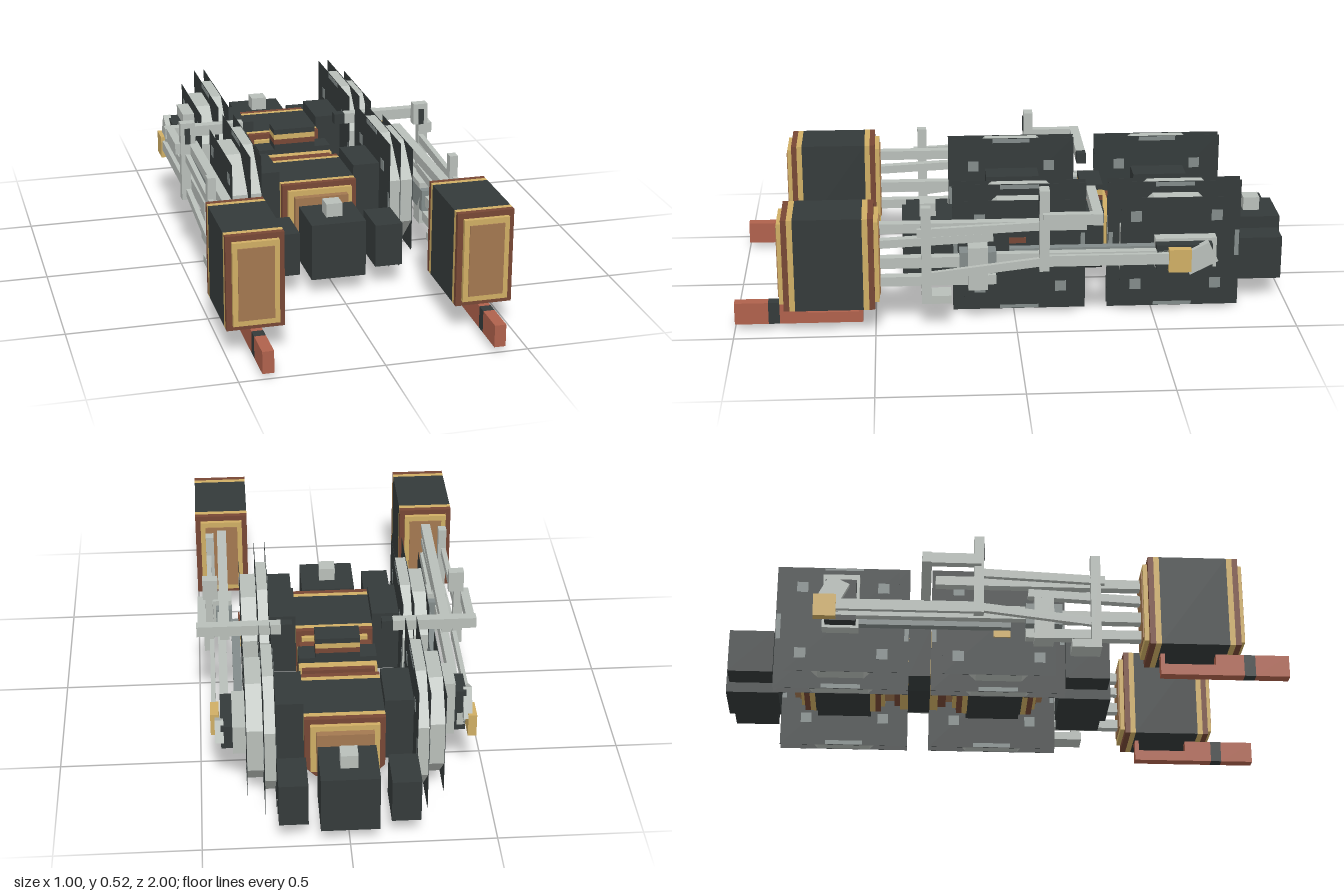
import * as THREE from 'three';

const mat = (name, color) => {
  const m = new THREE.MeshStandardMaterial({ color });
  m.name = name;
  return m;
};

export function createModel() {
  const root = new THREE.Group();
  root.name = 'runningGear';
  const iron = mat('dark iron', 0x343a3a);
  const steel = mat('light steel', 0xb8beb9);
  const grey = mat('mid grey', 0x828b8a);
  const copper = mat('copper', 0xa37850);
  const gold = mat('brass', 0xcfae64);
  const brown = mat('brown', 0x774735);
  const red = mat('red copper', 0xaf614c);

  // Box given by its extents
  const box = (parent, name, m, x0, x1, y0, y1, z0, z1) => {
    const mesh = new THREE.Mesh(new THREE.BoxGeometry(x1 - x0, y1 - y0, z1 - z0), m);
    mesh.position.set((x0 + x1) / 2, (y0 + y1) / 2, (z0 + z1) / 2);
    mesh.name = name;
    parent.add(mesh);
  };
  // Square bar between two points in a plane of constant x
  const bar = (name, m, x, w, h, z0, y0, z1, y1) => {
    const mesh = new THREE.Mesh(new THREE.BoxGeometry(w, h, Math.hypot(z1 - z0, y1 - y0)), m);
    mesh.position.set(x, (y0 + y1) / 2, (z0 + z1) / 2);
    mesh.rotation.x = -Math.atan2(y1 - y0, z1 - z0);
    mesh.name = name;
    root.add(mesh);
  };
  // Chamfered housing section along z
  const housing = (parent, name, m, w, top, bottom, z0, z1) => {
    const s = new THREE.Shape();
    const c = 0.04;
    s.moveTo(-w + c, bottom); s.lineTo(w - c, bottom); s.lineTo(w, bottom + c);
    s.lineTo(w, top); s.lineTo(-w, top); s.lineTo(-w, bottom + c);
    const mesh = new THREE.Mesh(new THREE.ExtrudeGeometry(s, { depth: z1 - z0, bevelEnabled: false }), m);
    mesh.position.z = z0;
    mesh.name = name;
    parent.add(mesh);
  };
  // Octagonal disc across x, centred at x
  const octagon = (parent, name, m, apothem, x, width) => {
    const r = apothem / Math.cos(Math.PI / 8);
    const g = new THREE.CylinderGeometry(r, r, width, 8).toNonIndexed();
    g.rotateY(Math.PI / 8);
    g.rotateZ(Math.PI / 2);
    g.computeVertexNormals();
    const mesh = new THREE.Mesh(g, m);
    mesh.position.x = x;
    mesh.name = name;
    parent.add(mesh);
  };

  // Axle housings with layered ends
  for (const z of [-0.02, -0.58]) {
    const g = new THREE.Group();
    g.name = 'axleHousing';
    g.position.z = z;
    root.add(g);
    housing(g, 'housingCore', iron, 0.14, 0.32, 0.08, -0.1, 0.1);
    for (const s of [-1, 1]) {
      const span = (a, b) => (s > 0 ? [a, b] : [-b, -a]);
      housing(g, 'housingBrass', gold, 0.14, 0.32, 0.08, ...span(0.1, 0.12));
      housing(g, 'housingFrame', brown, 0.14, 0.32, 0.08, ...span(0.12, 0.14));
      box(g, 'brassPanel', gold, -0.12, 0.12, 0.11, 0.30, ...span(0.14, 0.155));
      box(g, 'copperPanel', copper, -0.10, 0.10, 0.13, 0.28, ...span(0.155, 0.18));
      box(g, 'axleBox', iron, ...span(0.14, 0.24), 0.12, 0.36, -0.1, 0.1);
    }
  }

  // Middle gearbox
  housing(root, 'gearboxCore', iron, 0.14, 0.32, 0.08, -0.34, -0.26);
  for (const [a, b, c, d] of [[-0.26, -0.23, -0.23, -0.20], [-0.37, -0.34, -0.39, -0.37]]) {
    housing(root, 'gearboxBrass', gold, 0.14, 0.30, 0.09, a, b);
    housing(root, 'gearboxEnd', brown, 0.13, 0.30, 0.10, c, d);
  }
  box(root, 'gearboxTop', iron, -0.08, 0.08, 0.38, 0.40, -0.34, -0.26);
  box(root, 'gearboxBrassBand', gold, -0.08, 0.08, 0.36, 0.38, -0.34, -0.26);
  box(root, 'gearboxCopperBand', brown, -0.08, 0.08, 0.34, 0.36, -0.34, -0.26);
  box(root, 'gearboxNeck', iron, -0.08, 0.08, 0.32, 0.34, -0.34, -0.26);
  box(root, 'driveShaft', copper, -0.09, 0.09, 0.12, 0.27, -0.74, 0.14);

  // End blocks, front and back
  for (const [a, b] of [[0.21, 0.40], [-1.0, -0.81]]) {
    const m = (a + b) / 2;
    box(root, 'endBlock', iron, -0.1, 0.1, 0.06, 0.27, a, b);
    box(root, 'endStub', steel, -0.03, 0.03, 0.27, 0.32, m - 0.03, m + 0.03);
    for (const s of [-1, 1]) box(root, 'sideBlock', iron, s * 0.19 - 0.05, s * 0.19 + 0.05, 0.08, 0.24, m - 0.08, m + 0.08);
  }

  for (const s of [-1, 1]) {
    // Box mirrored to this side
    const part = (name, m, a, b, ...r) => box(root, name, m, s > 0 ? a : -b, s > 0 ? b : -a, ...r);

    // Wheels: octagonal rims between thin square plates
    for (const z of [-0.02, -0.58]) {
      const w = new THREE.Group();
      w.name = 'wheel';
      w.position.set(0, 0.24, z);
      root.add(w);
      const plate = (name, m, x, h, k, y, zz) => box(w, name, m, s * x - 0.0005, s * x + 0.0005, y - h, y + h, zz - k, zz + k);
      octagon(w, 'wheelRim', steel, 0.238, s * 0.26, 0.038);
      octagon(w, 'wheelFlange', steel, 0.198, s * 0.31, 0.056);
      plate('innerPlate', iron, 0.24, 0.24, 0.24, 0, 0);
      plate('middlePlate', iron, 0.28, 0.24, 0.24, 0, 0);
      plate('outerPlate', iron, 0.339, 0.2, 0.2, 0, 0);
      for (const t of [-1, 1]) {
        for (const x of [0.238, 0.282]) {
          plate('rimMark', grey, x, 0.008, 0.07, t * 0.23, 0);
          plate('rimMark', grey, x, 0.05, 0.008, 0, t * 0.23);
        }
        for (const u of [-1, 1]) {
          for (const x of [0.238, 0.341]) plate('plateSpot', grey, x, 0.02, 0.02, t * 0.13, u * 0.145);
        }
      }
    }

    // Cylinder with layered ends
    part('cylinder', iron, 0.30, 0.50, 0.10, 0.44, 0.54, 0.78);
    for (const d of [-1, 1]) {
      const zr = (a, b) => (d > 0 ? [0.66 + a, 0.66 + b] : [0.66 - b, 0.66 - a]);
      part('cylinderBrass', gold, 0.30, 0.50, 0.10, 0.44, ...zr(0.12, 0.14));
      part('cylinderFrame', brown, 0.30, 0.50, 0.10, 0.44, ...zr(0.14, 0.16));
      part('cylinderCover', gold, 0.32, 0.48, 0.12, 0.42, ...zr(0.16, 0.176));
      part('coverPanel', copper, 0.338, 0.462, 0.14, 0.40, ...zr(0.176, 0.18));
    }

    // Low red rail with a dark band and a thin rear bracket
    part('railTip', red, 0.38, 0.42, 0.02, 0.10, 0.88, 1.0);
    part('railBand', iron, 0.38, 0.42, 0.02, 0.10, 0.84, 0.88);
    part('railBody', red, 0.38, 0.42, 0.02, 0.10, 0.74, 0.84);
    part('railStrip', red, 0.38, 0.42, 0.02, 0.06, 0.545, 0.74);
    part('railEnd', red, 0.38, 0.42, 0.06, 0.10, 0.545, 0.56);

    // Slide bars, piston rod and crosshead
    bar('upperSlideBar', steel, s * 0.40, 0.035, 0.035, 0.49, 0.37, -0.25, 0.37);
    bar('upperGuide', steel, s * 0.40, 0.03, 0.03, 0.49, 0.31, 0.08, 0.33);
    bar('pistonRod', steel, s * 0.40, 0.035, 0.04, 0.49, 0.24, 0.12, 0.24);
    bar('lowerSlideBar', steel, s * 0.40, 0.035, 0.035, 0.49, 0.17, 0.07, 0.17);
    part('crosshead', grey, 0.37, 0.43, 0.20, 0.28, 0.07, 0.20);
    part('crossheadPost', steel, 0.37, 0.44, 0.14, 0.30, 0.10, 0.17);
    part('guidePost', steel, 0.43, 0.46, 0.10, 0.46, 0.30, 0.335);
    part('guideFoot', steel, 0.38, 0.46, 0.10, 0.13, 0.23, 0.335);
    bar('valveRod', steel, s * 0.45, 0.018, 0.03, 0.35, 0.365, -0.10, 0.385);
    bar('radiusRod', steel, s * 0.45, 0.018, 0.03, 0.32, 0.20, -0.10, 0.25);

    // Main rod, coupling rod and rear crank, set a quarter turn apart per side
    const pin = s > 0 ? -0.58 : -0.64;
    bar('mainRod', steel, s * 0.41, 0.03, 0.05, 0.12, 0.245, pin, 0.245);
    bar('outerRod', steel, s * 0.447, 0.016, 0.04, -0.08, 0.25, pin, 0.25);
    part('couplingRod', grey, 0.345, 0.375, 0.21, 0.27, -0.60, 0.02);
    part('frontPinBrass', gold, 0.342, 0.348, 0.185, 0.21, -0.04, 0.02);
    part('frontPinCopper', brown, 0.342, 0.348, 0.28, 0.30, -0.04, 0.02);
    part('crankPin', gold, 0.43, 0.46, 0.20, 0.285, pin - 0.04, pin + 0.04);
    if (s > 0) {
      part('rearRodEnd', steel, 0.34, 0.385, 0.19, 0.30, -0.72, -0.50);
      part('crankBlock', iron, 0.385, 0.425, 0.20, 0.29, -0.70, -0.50);
      bar('crankArm', steel, 0.43, 0.03, 0.08, -0.60, 0.22, -0.70, 0.27);
    } else {
      part('rearRodEnd', steel, 0.34, 0.385, 0.19, 0.40, -0.65, -0.52);
      part('crankBlock', iron, 0.385, 0.425, 0.20, 0.36, -0.64, -0.53);
      bar('crankArm', steel, -0.43, 0.03, 0.08, -0.64, 0.25, -0.59, 0.35);
    }

    // Valve gear bracket
    part('bracketCrossbar', steel, 0.20, 0.50, 0.40, 0.44, -0.30, -0.265);
    part('bracketEnd', iron, 0.16, 0.20, 0.40, 0.44, -0.30, -0.265);
    part('bracketSide', steel, 0.465, 0.495, 0.40, 0.44, -0.265, -0.09);
    part('bracketPost', steel, 0.42, 0.475, 0.44, 0.52, -0.115, -0.08);
    part('bracketSlot', iron, 0.44, 0.46, 0.44, 0.50, -0.08, -0.077);
    part('bracketLeg', steel, 0.44, 0.475, 0.22, 0.44, -0.115, -0.08);
  }
  return root;
}
